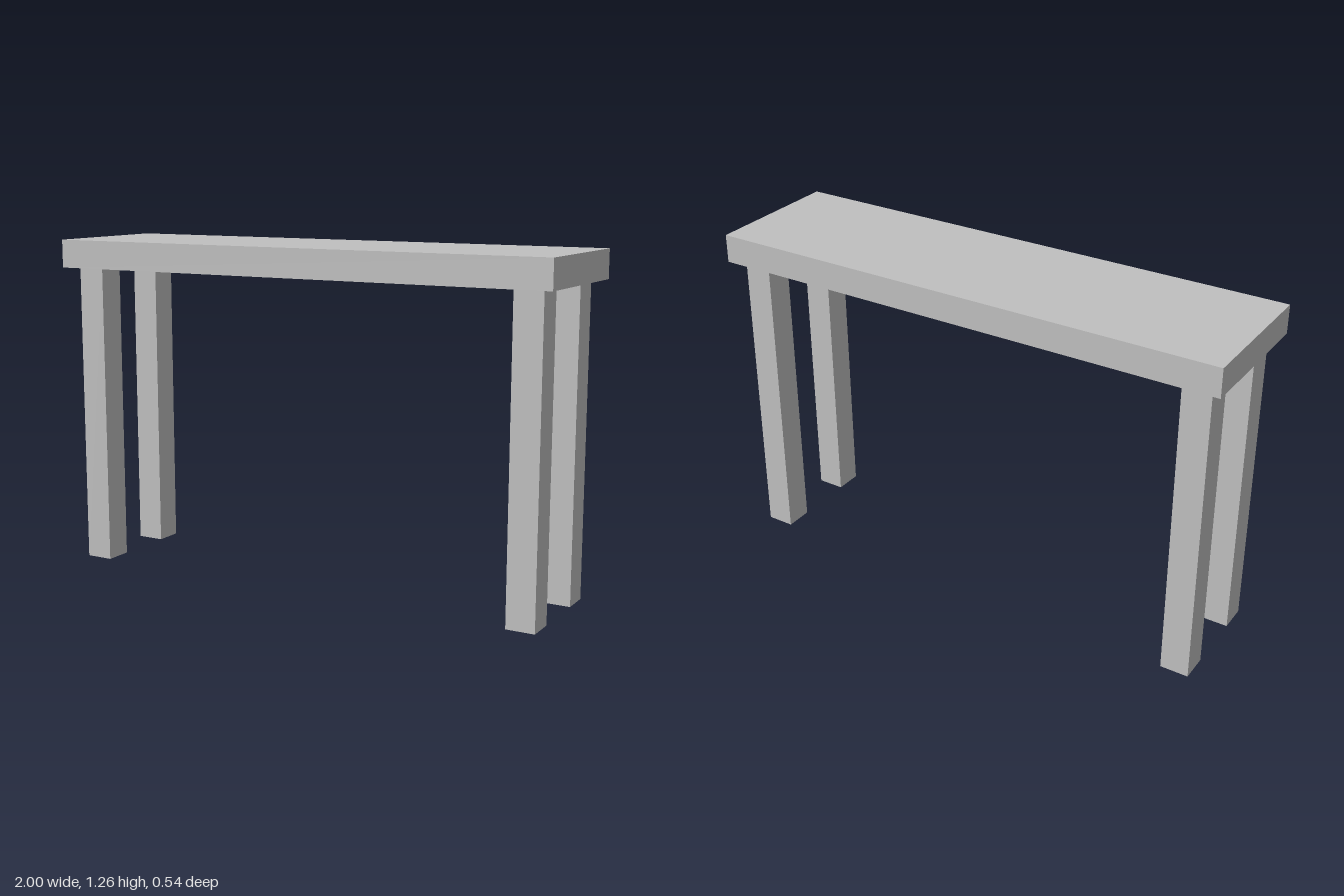
import * as THREE from 'three';

export function createModel() {
  const group = new THREE.Group();
  group.name = 'bench';
  const grey = new THREE.MeshStandardMaterial({ name: 'lightGrey', color: 0xc0c0c0 });

  const thickness = 0.107; // shared by the slab and the square legs
  const legHeight = 1.157;

  const addBox = (name, width, height, depth, x, y, z) => {
    const mesh = new THREE.Mesh(new THREE.BoxGeometry(width, height, depth), grey);
    mesh.name = name;
    mesh.position.set(x, y, z);
    group.add(mesh);
  };

  // Flat top slab
  addBox('top', 2, thickness, 0.54, 0, legHeight + thickness / 2, 0);

  // Four square legs, set in from the corners
  for (const [side, sx] of [['Left', 1], ['Right', -1]]) {
    for (const [end, sz] of [['front', 1], ['back', -1]]) {
      addBox(`${end}${side}Leg`, thickness, legHeight, thickness, sx * 0.9, legHeight / 2, sz * 0.169);
    }
  }
  return group;
}
